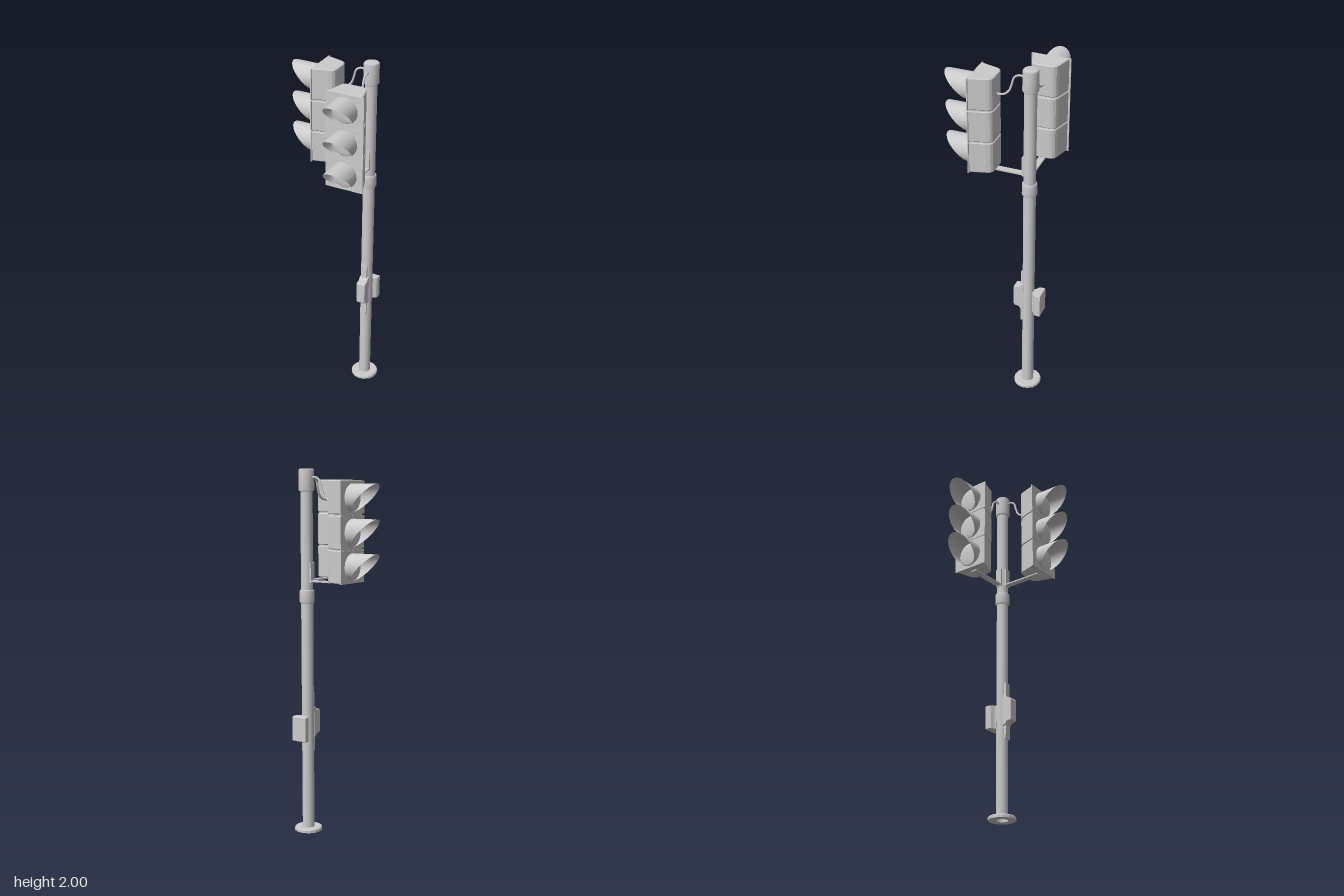
import * as THREE from 'three';

const grey = new THREE.MeshStandardMaterial({ color: 0xcccccc });
const thin = new THREE.MeshStandardMaterial({ color: 0xcccccc, side: THREE.DoubleSide });
const flat = new THREE.MeshStandardMaterial({ color: 0xcccccc, flatShading: true });

function add(parent, name, geometry, material = grey, x = 0, y = 0, z = 0) {
  const mesh = new THREE.Mesh(geometry, material);
  mesh.name = name;
  mesh.position.set(x, y, z);
  parent.add(mesh);
  return mesh;
}

const shapeOf = (points) => new THREE.Shape(points.map(([x, y]) => new THREE.Vector2(x, y)));

// Plan outline given as [x, z], raised to a height, with its base on y = 0
function prism(plan, height, bevel = 0) {
  const geo = new THREE.ExtrudeGeometry(shapeOf(plan.map(([x, z]) => [x, -z])), {
    depth: height - 2 * bevel, bevelEnabled: bevel > 0, bevelSize: bevel,
    bevelOffset: -bevel, bevelThickness: bevel, bevelSegments: 1,
  });
  return geo.rotateX(-Math.PI / 2).translate(0, bevel, 0);
}

// Sleeve around the pole with chamfered rims
function sleeve(r, y0, y1, chamfer, inner) {
  const profile = [[inner, y0], [r - chamfer, y0], [r, y0 + chamfer], [r, y1 - chamfer], [r - chamfer, y1], [inner, y1]];
  return new THREE.LatheGeometry(profile.map(([x, y]) => new THREE.Vector2(x, y)), 20);
}

// Open tube along +z whose mouth is cut on a slant, longest at the top
function visorGeometry(r, length) {
  const geo = new THREE.CylinderGeometry(r, r, 1, 28, 1, true).rotateX(Math.PI / 2);
  const p = geo.attributes.position;
  for (let i = 0; i < p.count; i++) {
    p.setZ(i, p.getZ(i) > 0 ? 0.004 + (length - 0.004) * (p.getY(i) + r) / (2 * r) : 0);
  }
  return geo;
}

// Signal head in a frame whose origin is the pole axis, facing +z
function createSignal() {
  const signal = new THREE.Group();
  signal.name = 'signalHead';
  const half = [[0.04, 0.178], [0.055, 0.182], [0.067, 0.192], [0.075, 0.21], [0.098, 0.298]];
  const plan = [...half, ...half.map(([x, z]) => [-x, z]).reverse()];
  const inner = plan.map(([x, z]) => [x * 0.95, z < 0.29 ? z + 0.005 : z]);
  add(signal, 'housingCore', prism(inner, 0.5), flat, 0, 1.42, 0);

  const visor = visorGeometry(0.073, 0.156);
  const lens = new THREE.SphereGeometry(0.072, 28, 6, 0, Math.PI * 2, 0, Math.PI / 2)
    .rotateX(Math.PI / 2).scale(1, 1, 0.15);
  for (const y of [1.49, 1.67, 1.852]) {
    add(signal, 'housingSection', prism(plan, 0.174, 0.004), flat, 0, y - 0.085, 0);
    add(signal, 'facePlate', new THREE.BoxGeometry(0.214, 0.174, 0.006), grey, 0, y + 0.001, 0.299);
    add(signal, 'visor', visor, thin, 0, y, 0.301);
    add(signal, 'lens', lens, grey, 0, y, 0.301);
  }

  // Lower L-shaped bracket
  add(signal, 'lowerArm', new THREE.BoxGeometry(0.035, 0.008, 0.235), grey, 0, 1.402, 0.147);
  add(signal, 'bracketPlate', new THREE.BoxGeometry(0.035, 0.11, 0.01), grey, 0, 1.448, 0.034);

  // Power cable from the cap to the back of the housing
  const path = new THREE.CatmullRomCurve3([
    [0.035, 1.952], [0.06, 1.956], [0.087, 1.94], [0.1, 1.9], [0.116, 1.86], [0.145, 1.838], [0.185, 1.833],
  ].map(([z, y]) => new THREE.Vector3(0, y, z)));
  add(signal, 'cable', new THREE.TubeGeometry(path, 24, 0.006, 8));
  return signal;
}

export function createModel() {
  const model = new THREE.Group();
  model.name = 'trafficLight';
  const post = new THREE.Group();
  post.name = 'post';
  post.position.set(0.174, 0, -0.174);
  model.add(post);

  // Pole, foot, collar and cap
  add(post, 'pole', new THREE.CylinderGeometry(0.033, 0.033, 1.95, 20, 1, true), thin, 0, 0.975, 0);
  const foot = [[0.033, 0], [0.077, 0], [0.077, 0.014], [0.072, 0.02], [0.033, 0.02]];
  add(post, 'footRing', new THREE.LatheGeometry(foot.map(([x, y]) => new THREE.Vector2(x, y)), 16), flat);
  add(post, 'collar', sleeve(0.041, 1.28, 1.353, 0.006, 0.033));
  add(post, 'cap', sleeve(0.042, 1.88, 2.0, 0.007, 0));

  // Two signal heads, one to the front and one to the model's right
  for (const turn of [0, -Math.PI / 2]) {
    const signal = createSignal();
    signal.rotation.y = turn;
    post.add(signal);
  }

  // Push-button unit on the front: a mounting strip and a bulging case
  add(post, 'buttonStrip', new THREE.BoxGeometry(0.036, 0.33, 0.012), grey, 0, 0.615, 0.033);
  const caseSide = shapeOf([
    [0.02, 0.525], [0.04, 0.53], [0.05, 0.545], [0.074, 0.548], [0.079, 0.556],
    [0.079, 0.674], [0.074, 0.682], [0.05, 0.685], [0.04, 0.7], [0.02, 0.705],
  ]);
  const caseGeo = new THREE.ExtrudeGeometry(caseSide, {
    depth: 0.044, bevelSize: 0.004, bevelOffset: -0.004, bevelThickness: 0.004, bevelSegments: 1,
  }).translate(0, 0, -0.022).rotateY(-Math.PI / 2);
  add(post, 'buttonCase', caseGeo, flat);

  // Control box on the back, narrowing towards the pole
  const boxPlan = [[-0.045, -0.083], [0.045, -0.083], [0.045, -0.055], [0.04, -0.047], [0.022, -0.037],
    [0.018, -0.028], [-0.018, -0.028], [-0.022, -0.037], [-0.04, -0.047], [-0.045, -0.055]];
  add(post, 'controlBox', prism(boxPlan, 0.14, 0.004), flat, 0, 0.52, 0);
  return model;
}
